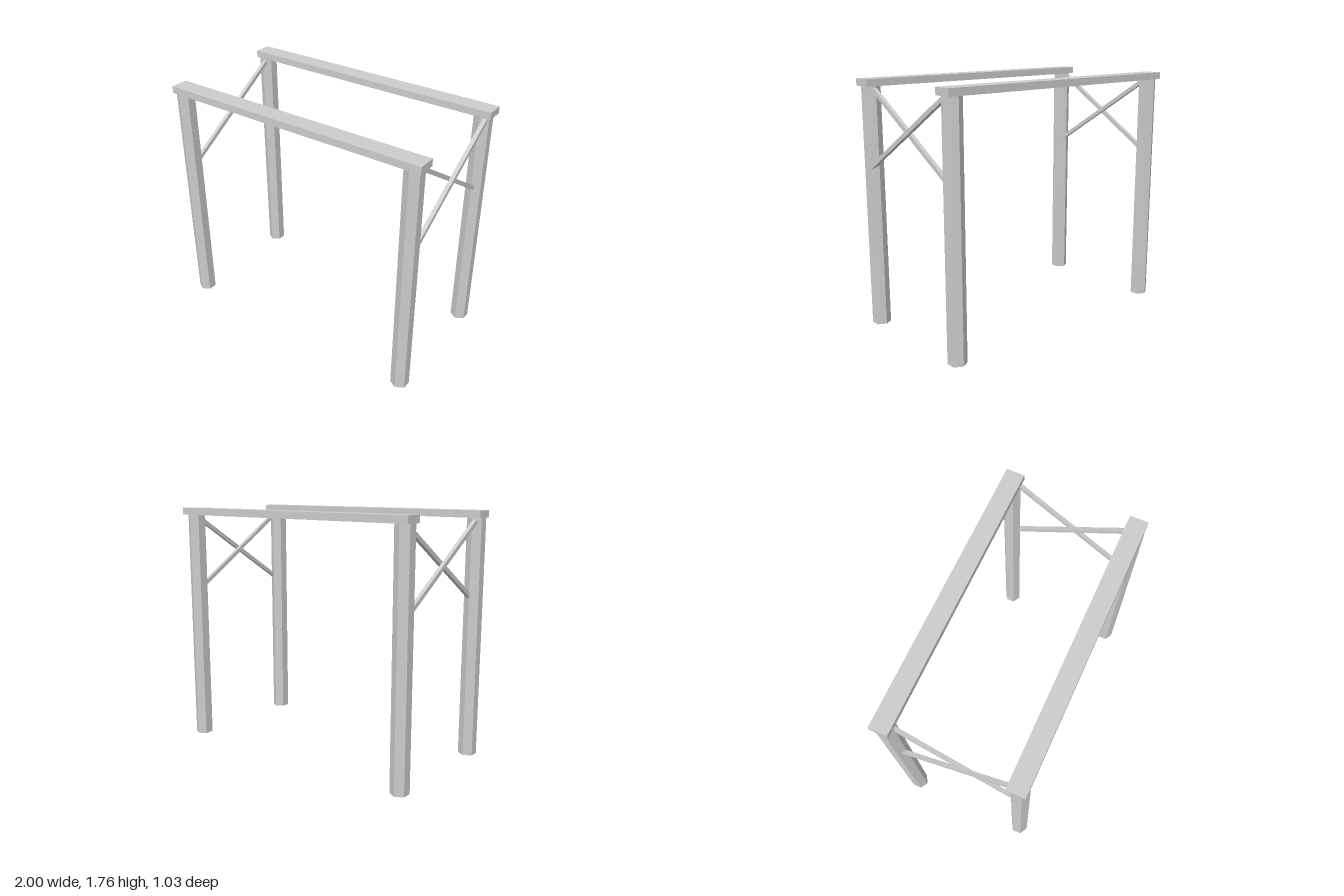
import * as THREE from 'three';

export function createModel() {
  const model = new THREE.Group();
  const material = new THREE.MeshStandardMaterial({ color: 0xcccccc, flatShading: true });

  function add(name, geometry, x, y, z) {
    const mesh = new THREE.Mesh(geometry, material);
    mesh.name = name;
    mesh.position.set(x, y, z);
    model.add(mesh);
    return mesh;
  }

  // Four hexagonal posts, their tops let into the beams
  const legHeight = 1.735;
  const leg = new THREE.CylinderGeometry(0.065, 0.065, legHeight, 6);
  for (const [side, x] of [['Left', 0.925], ['Right', -0.938]]) {
    add('front' + side + 'Leg', leg, x, legHeight / 2, 0.452);
    add('back' + side + 'Leg', leg, x, legHeight / 2, -0.4475);
  }

  // Two flat beams along the top
  const beam = new THREE.BoxGeometry(2, 0.05, 0.13);
  add('frontBeam', beam, 0, 1.74, 0.4475);
  add('backBeam', beam, 0, 1.74, -0.452);

  // Crossed braces at each end, lying side by side
  const brace = new THREE.BoxGeometry(0.028, 0.029, 1.0);
  const tilt = Math.atan2(0.52, 0.81);
  for (const [side, x] of [['left', 0.943], ['right', -0.941]]) {
    add(side + 'RisingBrace', brace, x + 0.014, 1.433, 0).rotation.x = tilt;
    add(side + 'FallingBrace', brace, x - 0.014, 1.433, 0).rotation.x = -tilt;
  }

  return model;
}
